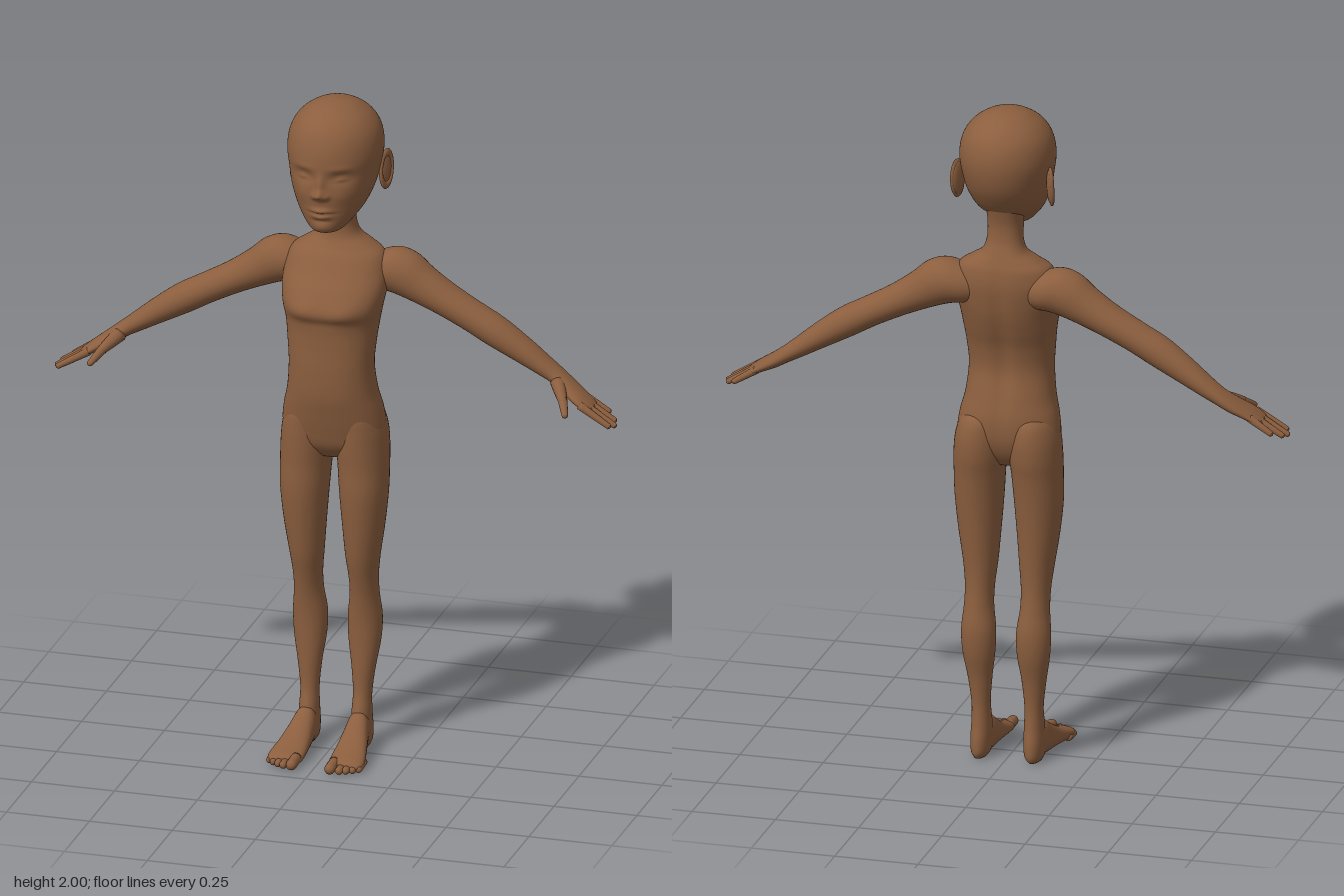
import * as THREE from 'three';

const skin = new THREE.MeshStandardMaterial({ color: 0x8b5e3e });
skin.name = 'brown skin';

const V = (x, y, z) => new THREE.Vector3(x, y, z);
const X = V(1, 0, 0), Y = V(0, 1, 0), Z = V(0, 0, 1);
const bump = (x, y, x0, y0, sx, sy) => Math.exp(-(((x - x0) / sx) ** 2) - ((y - y0) / sy) ** 2);

// Smooth spline through rows of numbers, sampled "sub" times per span
function refine(rows, sub) {
  const out = [], last = rows.length - 1;
  const at = i => rows[Math.max(0, Math.min(last, i))];
  for (let i = 0; i < last; i++) {
    for (let s = 0; s < sub; s++) {
      const t = s / sub;
      out.push(rows[i].map((p1, k) => {
        const p0 = at(i - 1)[k], p2 = at(i + 1)[k], p3 = at(i + 2)[k];
        return p1 + 0.5 * t * (p2 - p0 + t * (2 * p0 - 5 * p1 + 4 * p2 - p3 + t * (3 * (p1 - p2) + p3 - p0)));
      }));
    }
  }
  out.push(rows[last]);
  return out;
}

// Closed tube of oval cross-sections; row = [x, y, z, radiusU, radiusV]
function loft(name, rows, u, v, { seg = 32, sub = 5, power = 2, warp } = {}) {
  const rings = refine(rows, sub), pos = [], idx = [];
  const put = (r, c, s) => {
    const p = V(r[0], r[1], r[2]).addScaledVector(u, Math.max(r[3], 0) * c).addScaledVector(v, Math.max(r[4], 0) * s);
    if (warp) warp(p, s);
    pos.push(p.x, p.y, p.z);
  };
  const round = k => Math.sign(k) * Math.abs(k) ** (2 / power);
  for (const r of rings) {
    for (let j = 0; j < seg; j++) {
      const a = j / seg * Math.PI * 2;
      put(r, round(Math.cos(a)), round(Math.sin(a)));
    }
  }
  const first = rings[0], end = rings[rings.length - 1];
  const along = V(end[0] - first[0], end[1] - first[1], end[2] - first[2]);
  const flip = V(0, 0, 0).crossVectors(u, v).dot(along) < 0;
  const tri = (a, b, c) => flip ? idx.push(a, c, b) : idx.push(a, b, c);
  const base = (rings.length - 1) * seg, cap0 = rings.length * seg, cap1 = cap0 + 1;
  put(first, 0, 0);
  put(end, 0, 0);
  for (let j = 0; j < seg; j++) {
    const k = (j + 1) % seg;
    for (let i = 0; i < base; i += seg) {
      tri(i + j, i + k, i + seg + j);
      tri(i + k, i + seg + k, i + seg + j);
    }
    tri(cap0, k, j);
    tri(cap1, base + j, base + k);
  }
  const g = new THREE.BufferGeometry();
  g.setAttribute('position', new THREE.Float32BufferAttribute(pos, 3));
  g.setIndex(idx);
  g.computeVertexNormals();
  const m = new THREE.Mesh(g, skin);
  m.name = name;
  return m;
}

// Rounded finger or toe between two points
function digit(name, a, b, r0, r1) {
  const d = b.clone().sub(a), len = d.length();
  d.normalize();
  const u = V(0, 0, 0).crossVectors(d, Math.abs(d.y) > 0.8 ? Z : Y).normalize();
  const v = V(0, 0, 0).crossVectors(d, u);
  const row = (t, r) => [...a.clone().addScaledVector(d, t).toArray(), r, r];
  const rows = [row(0, r0), row(len * 0.5, (r0 + r1) / 2), row(len - r1, r1)];
  for (const q of [0.5, 0.8, 0.95, 1]) rows.push(row(len - r1 + r1 * q, r1 * Math.sqrt(1 - q * q)));
  return loft(name, rows, u, v, { seg: 14, sub: 3 });
}

// Head, with the face raised and sunk by soft bumps
function makeHead() {
  // [y, half width, front z, back z]
  const rows = [
    [1.628, 0.02, 0.06, 0.0], [1.635, 0.045, 0.082, -0.025], [1.66, 0.07, 0.091, -0.065], [1.7, 0.099, 0.096, -0.135],
    [1.75, 0.12, 0.1, -0.178], [1.8, 0.131, 0.101, -0.203], [1.86, 0.139, 0.1, -0.214], [1.915, 0.13, 0.086, -0.205],
    [1.955, 0.105, 0.058, -0.178], [1.982, 0.069, 0.015, -0.138], [1.995, 0.035, -0.025, -0.098], [2.0, 0, -0.06, -0.06],
  ].map(([y, w, f, b]) => [0, y, (f + b) / 2, w, (f - b) / 2]);
  const face = [ // x, y, spread x, spread y, depth
    [0, 1.757, 0.015, 0.014, 0.024], [0, 1.785, 0.012, 0.028, 0.011], [0.018, 1.751, 0.009, 0.009, 0.01],
    [0.056, 1.806, 0.03, 0.017, -0.014], [0.058, 1.802, 0.018, 0.009, 0.01], [0.058, 1.813, 0.02, 0.003, 0.003],
    [0.058, 1.796, 0.016, 0.003, -0.003], [0.055, 1.836, 0.035, 0.01, 0.003], [0, 1.705, 0.027, 0.007, 0.011],
    [0, 1.687, 0.024, 0.008, 0.011], [0, 1.696, 0.032, 0.003, -0.006], [0, 1.672, 0.025, 0.007, -0.004],
    [0, 1.65, 0.03, 0.013, 0.004], [0.06, 1.75, 0.03, 0.025, 0.004],
  ];
  const warp = (p, s) => {
    const w = THREE.MathUtils.smoothstep(s, 0.3, 0.7), { x, y } = p;
    for (const [bx, by, sx, sy, d] of face) p.z += w * d * bump(Math.abs(x), y, bx, by, sx, sy);
  };
  return loft('head', rows, X, Z, { seg: 144, sub: 11, warp });
}

function makeEar(s) {
  const ear = new THREE.Group();
  ear.name = s > 0 ? 'leftEar' : 'rightEar';
  const dish = new THREE.Mesh(new THREE.SphereGeometry(1, 24, 16), skin);
  dish.name = 'earDish';
  dish.scale.set(0.009, 0.052, 0.026);
  const rim = new THREE.Mesh(new THREE.TorusGeometry(0.024, 0.006, 10, 32), skin);
  rim.name = 'earRim';
  rim.rotation.y = Math.PI / 2;
  rim.scale.set(1, 2.05, 1);
  rim.position.x = s * 0.004;
  ear.add(dish, rim);
  ear.position.set(s * 0.137, 1.782, -0.097);
  ear.rotation.set(-0.12, -s * 0.42, 0);
  return ear;
}

// Torso and neck: [y, half width, front z, back z]
function makeTorso() {
  const rows = [
    [0.91, 0.06, 0.005, -0.09], [0.95, 0.135, 0.036, -0.12], [1.0, 0.152, 0.052, -0.138], [1.06, 0.146, 0.067, -0.14],
    [1.12, 0.132, 0.079, -0.129], [1.2, 0.125, 0.082, -0.112], [1.27, 0.13, 0.08, -0.12], [1.33, 0.137, 0.082, -0.141],
    [1.38, 0.146, 0.096, -0.157], [1.43, 0.154, 0.073, -0.167], [1.48, 0.152, 0.035, -0.172], [1.525, 0.138, 0.004, -0.167],
    [1.55, 0.104, -0.018, -0.158], [1.575, 0.067, -0.033, -0.147], [1.61, 0.053, -0.037, -0.134],
    [1.66, 0.052, -0.028, -0.131], [1.72, 0.055, -0.045, -0.145],
  ].map(([y, w, f, b]) => [0, y, (f + b) / 2, w, (f - b) / 2]);
  const warp = (p, s) => { // spine groove and soft chest
    const { x, y } = p;
    if (s < 0) p.z += 0.01 * -s * bump(x, y, 0, 1.26, 0.025, 0.24);
    else p.z += s * (0.008 * bump(Math.abs(x), y, 0.07, 1.385, 0.04, 0.03) - 0.004 * bump(x, y, 0, 1.35, 0.13, 0.012));
  };
  return loft('torso', rows, X, Z, { seg: 64, sub: 6, power: 2.2, warp });
}

// Leg: [y, inner x, outer x, front z, back z]
function makeLeg(s) {
  const leg = new THREE.Group();
  leg.name = s > 0 ? 'leftLeg' : 'rightLeg';
  const rows = [
    [1.08, 0.04, 0.11, 0.02, -0.1], [1.05, 0.015, 0.138, 0.045, -0.138], [1.0, 0.006, 0.154, 0.047, -0.151],
    [0.94, 0.006, 0.16, 0.045, -0.15], [0.88, 0.012, 0.161, 0.042, -0.139], [0.8, 0.018, 0.16, 0.042, -0.128],
    [0.7, 0.026, 0.15, 0.031, -0.117], [0.6, 0.034, 0.135, 0.015, -0.109], [0.53, 0.041, 0.127, -0.003, -0.109],
    [0.47, 0.041, 0.127, -0.017, -0.116], [0.4, 0.032, 0.133, -0.027, -0.126], [0.33, 0.034, 0.13, -0.03, -0.121],
    [0.25, 0.045, 0.117, -0.03, -0.103], [0.17, 0.052, 0.107, -0.028, -0.094], [0.11, 0.05, 0.108, -0.012, -0.098],
    [0.06, 0.049, 0.11, -0.004, -0.107], [0.022, 0.052, 0.108, -0.004, -0.108], [0.004, 0.062, 0.1, -0.01, -0.098],
  ].map(([y, i, o, f, b]) => [s * (i + o) / 2, y, (f + b) / 2, (o - i) / 2, (f - b) / 2]);
  // Foot: [z, inner x, outer x, top y, bottom y]
  const foot = [
    [-0.09, 0.06, 0.1, 0.05, 0.008], [-0.06, 0.052, 0.108, 0.09, 0.004], [-0.02, 0.047, 0.112, 0.118, 0.003],
    [0.02, 0.044, 0.12, 0.098, 0.003], [0.07, 0.041, 0.131, 0.069, 0.004], [0.12, 0.039, 0.141, 0.049, 0.003],
    [0.155, 0.041, 0.142, 0.038, 0.003], [0.175, 0.052, 0.128, 0.028, 0.008],
  ].map(([z, i, o, t, b]) => [s * (i + o) / 2, (t + b) / 2, z, (o - i) / 2, (t - b) / 2]);
  leg.add(loft('legShape', rows, X, Z, { seg: 40 }), loft('foot', foot, X, Y, { seg: 36, power: 2.3 }));
  [[0.058, 0.213, 0.016], [0.084, 0.203, 0.0115], [0.102, 0.195, 0.011], [0.119, 0.184, 0.0105], [0.134, 0.171, 0.01]]
    .forEach(([x, z, r], i) => leg.add(
      digit('toe' + (i + 1), V(s * x, r + 0.008, z - 0.065), V(s * x, r + 0.003, z), r, r)));
  return leg;
}

// Arm running into the palm: [x, y, z, radius across, radius in z]
function makeArm(s) {
  const arm = new THREE.Group();
  arm.name = s > 0 ? 'leftArm' : 'rightArm';
  const rows = [
    [0.07, 1.475, -0.1, 0.045, 0.045], [0.13, 1.475, -0.104, 0.073, 0.066], [0.19, 1.463, -0.105, 0.07, 0.067],
    [0.25, 1.43, -0.105, 0.057, 0.061], [0.32, 1.392, -0.105, 0.048, 0.057], [0.4, 1.35, -0.104, 0.045, 0.053],
    [0.47, 1.311, -0.104, 0.045, 0.051], [0.55, 1.261, -0.107, 0.037, 0.045], [0.61, 1.221, -0.109, 0.029, 0.04],
    [0.65, 1.195, -0.108, 0.024, 0.038], [0.69, 1.168, -0.096, 0.021, 0.045], [0.73, 1.144, -0.08, 0.017, 0.049],
    [0.762, 1.124, -0.073, 0.012, 0.046], [0.772, 1.118, -0.072, 0.006, 0.04],
  ].map(([x, ...r]) => [s * x, ...r]);
  arm.add(loft('armAndPalm', rows, V(0.52 * s, 0.854, 0), Z, { seg: 40 }));
  // Fingers: [root z, tip x, tip y, tip z]
  [[-0.11, 0.812, 1.093, -0.116], [-0.086, 0.838, 1.08, -0.085], [-0.061, 0.846, 1.075, -0.056], [-0.037, 0.836, 1.081, -0.03]]
    .forEach(([z, x, y, tz], i) => arm.add(
      digit('finger' + (i + 1), V(s * 0.74, 1.137, z), V(s * x, y, tz), 0.012, 0.0085)));
  arm.add(
    digit('thumbBase', V(s * 0.66, 1.183, -0.085), V(s * 0.702, 1.148, -0.004), 0.022, 0.0125),
    digit('thumbTip', V(s * 0.694, 1.154, -0.022), V(s * 0.719, 1.124, 0.036), 0.014, 0.009));
  return arm;
}

export function createModel() {
  const figure = new THREE.Group();
  figure.name = 'childFigure';
  figure.add(makeHead(), makeTorso());
  for (const s of [1, -1]) figure.add(makeEar(s), makeArm(s), makeLeg(s));
  return figure;
}
